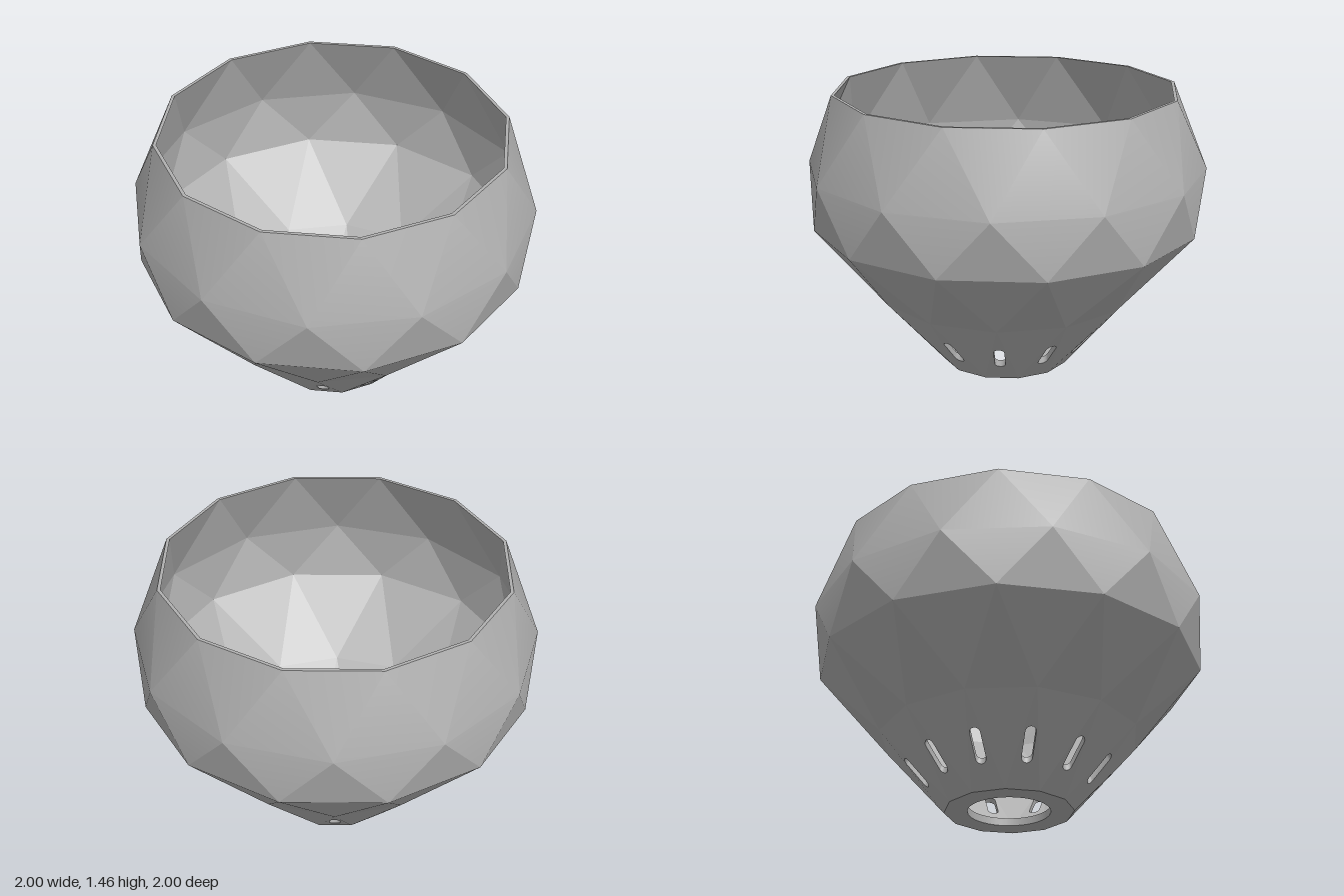
import * as THREE from 'three';
import { toCreasedNormals } from 'three/addons/utils/BufferGeometryUtils.js';

const SIDES = 12;
const STEP = (Math.PI * 2) / SIDES;
const HOLE = 0.21;
const FLOOR = 0.04;

// [radius, height] of each ring; every second ring is turned by half a side
const OUTER = [[0.33, 0], [0.67, 0.39], [1.0, 0.76], [1.03, 1.06], [0.89, 1.46]];
const INNER = [[0.33, FLOOR], [0.645, 0.4], [0.98, 0.768], [1.01, 1.06], [0.873, 1.46]];

function corner(rings, i, k) {
  const [r, y] = rings[i];
  const a = (k + (i % 2) * 0.5) * STEP;
  return new THREE.Vector3(r * Math.sin(a), y, r * Math.cos(a));
}

function geometryFrom(triangles, inward = false) {
  const points = triangles.flatMap(([a, b, c]) => (inward ? [a, c, b] : [a, b, c]));
  const g = new THREE.BufferGeometry().setFromPoints(points);
  g.computeVertexNormals();
  return g;
}

// Flat pattern of one bottom facet with its rounded slot
const W = OUTER[0][0] * Math.sin(STEP / 2);
const H = 0.52;
function slotOutline() {
  const r = 0.027, low = 0.165, high = 0.297, n = 8, pts = [];
  for (let i = 0; i <= n; i++) {
    const a = Math.PI + (i / n) * Math.PI;
    pts.push(new THREE.Vector2(r * Math.cos(a), low + r * Math.sin(a)));
  }
  for (let i = 0; i <= n; i++) {
    const a = (i / n) * Math.PI;
    pts.push(new THREE.Vector2(r * Math.cos(a), high + r * Math.sin(a)));
  }
  return pts;
}
const SLOT = slotOutline();
const facetShape = new THREE.Shape([
  new THREE.Vector2(-W, 0), new THREE.Vector2(W, 0), new THREE.Vector2(0, H),
]);
facetShape.holes.push(new THREE.Path(SLOT));
const facetPattern = new THREE.ShapeGeometry(facetShape).toNonIndexed();

// Lays a pattern point onto the bottom facet k of a shell
function onFacet(rings, k, u, v) {
  const h = v / H, s = u / W;
  return new THREE.Vector3()
    .addScaledVector(corner(rings, 0, k), (1 - h - s) / 2)
    .addScaledVector(corner(rings, 0, k + 1), (1 - h + s) / 2)
    .addScaledVector(corner(rings, 1, k), h);
}

function slottedFacet(rings, k) {
  const p = facetPattern.attributes.position, tris = [];
  for (let i = 0; i < p.count; i += 3) {
    tris.push([0, 1, 2].map((j) => onFacet(rings, k, p.getX(i + j), p.getY(i + j))));
  }
  return tris;
}

// Zigzag bands of triangles between neighbouring rings
function bands(rings, from, to) {
  const tris = [];
  for (let i = from; i < to; i++) {
    for (let k = 0; k < SIDES; k++) {
      const s = k + (i % 2);
      const right = corner(rings, i, k + 1);
      if (i === 0) tris.push(...slottedFacet(rings, k));
      else tris.push([corner(rings, i, k), right, corner(rings, i + 1, s)]);
      tris.push([corner(rings, i + 1, s), right, corner(rings, i + 1, s + 1)]);
    }
  }
  return tris;
}

function slotWalls() {
  const tris = [];
  for (let k = 0; k < SIDES; k++) {
    SLOT.forEach((p, i) => {
      const q = SLOT[(i + 1) % SLOT.length];
      const po = onFacet(OUTER, k, p.x, p.y), qo = onFacet(OUTER, k, q.x, q.y);
      const pi = onFacet(INNER, k, p.x, p.y), qi = onFacet(INNER, k, q.x, q.y);
      tris.push([po, qo, qi], [po, qi, pi]);
    });
  }
  return tris;
}

function rimTop() {
  const tris = [];
  for (let k = 0; k < SIDES; k++) {
    const a = corner(OUTER, 4, k), b = corner(OUTER, 4, k + 1);
    const c = corner(INNER, 4, k + 1), d = corner(INNER, 4, k);
    tris.push([a, b, c], [a, c, d]);
  }
  return tris;
}

export function createModel() {
  const model = new THREE.Group();
  model.name = 'planter';
  const grey = new THREE.MeshStandardMaterial({ color: 0xb0b0b0 });
  grey.name = 'grey';

  const add = (name, geometry) => {
    const mesh = new THREE.Mesh(geometry, grey);
    mesh.name = name;
    model.add(mesh);
    return mesh;
  };

  // Shell: faceted below, softened above
  add('outerLowerShell', geometryFrom(bands(OUTER, 0, 2)));
  add('outerUpperShell', toCreasedNormals(geometryFrom(bands(OUTER, 2, 4)), THREE.MathUtils.degToRad(17.5)));
  add('innerShell', geometryFrom(bands(INNER, 0, 4), true));
  add('rim', geometryFrom(rimTop()));
  add('slotWalls', toCreasedNormals(geometryFrom(slotWalls()), 0.6));

  // Underside with the drain hole
  const base = new THREE.Shape(Array.from({ length: SIDES }, (_, k) => {
    const p = corner(OUTER, 0, k);
    return new THREE.Vector2(p.x, p.z);
  }));
  base.holes.push(new THREE.Path().absarc(0, 0, HOLE, 0, Math.PI * 2, true));
  add('underside', new THREE.ShapeGeometry(base, 48).rotateX(Math.PI / 2));

  // Floor and drain hole wall
  const floor = new THREE.RingGeometry(HOLE, 0.33, 48).rotateX(-Math.PI / 2);
  add('floor', floor.translate(0, FLOOR, 0));
  const wall = new THREE.CylinderGeometry(HOLE, HOLE, FLOOR, 48, 1, true);
  wall.scale(-1, 1, 1); // turned to face the hole
  const index = wall.index.array;
  const normal = wall.attributes.normal;
  for (let i = 0; i < index.length; i += 3) [index[i], index[i + 1], index[i + 2]] = [index[i], index[i + 1], index[i + 2]];
  for (let i = 0; i < normal.count; i++) normal.setXYZ(i, -wall.attributes.position.getX(i) / HOLE, 0, -wall.attributes.position.getZ(i) / HOLE);
  add('drainHoleWall', wall.translate(0, FLOOR / 2, 0));

  model.rotation.y = 0.019;
  return model;
}
